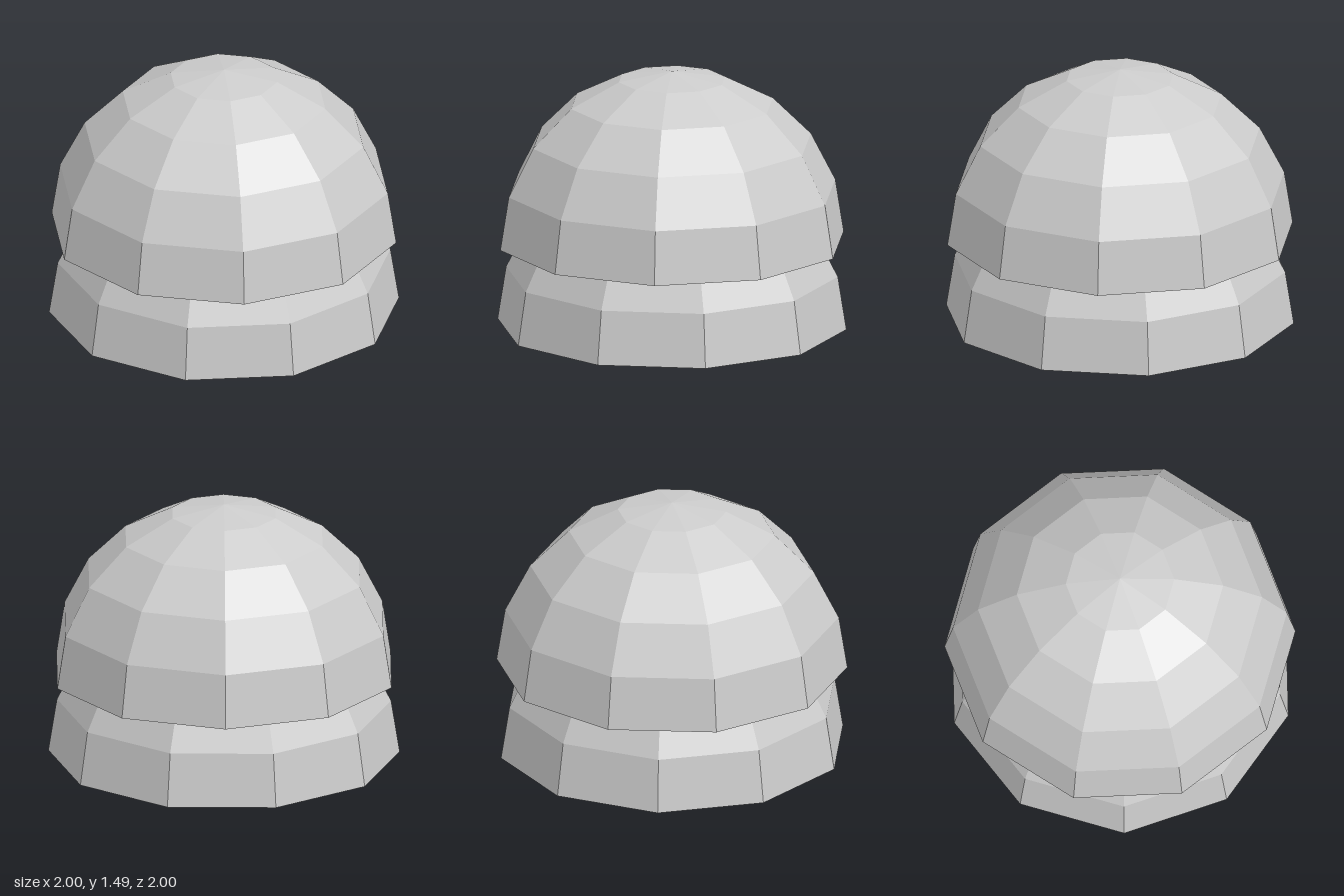
import * as THREE from 'three';

const SIDES = 10;
const RINGS = 5;
const HOLLOW = 0.3; // height of the hollow under each dome

// Faceted half-sphere of radius 1 with a smooth, shallow hollow underneath
function makeDome(name, y, turn) {
  const dome = new THREE.Group();
  dome.name = name;
  dome.position.y = y;
  dome.rotation.y = THREE.MathUtils.degToRad(turn);

  const shell = new THREE.Mesh(
    new THREE.SphereGeometry(1, SIDES, RINGS, 0, Math.PI * 2, 0, Math.PI / 2),
    new THREE.MeshStandardMaterial({ color: 0xcccccc, flatShading: true }),
  );
  shell.name = 'shell';

  // Bowl-shaped underside, from its middle out to the rim
  const profile = [];
  for (let i = 0; i <= RINGS; i++) {
    const r = i / RINGS;
    profile.push(new THREE.Vector2(r, HOLLOW * (1 - r * r)));
  }
  const underside = new THREE.Mesh(
    new THREE.LatheGeometry(profile, SIDES, Math.PI / 2),
    new THREE.MeshStandardMaterial({ color: 0xcccccc }),
  );
  underside.name = 'underside';

  dome.add(shell, underside);
  return dome;
}

export function createModel() {
  const model = new THREE.Group();
  model.name = 'stackedDomes';
  // The lower dome is turned about half a facet against the upper one
  model.add(makeDome('lowerDome', 0, -19.3), makeDome('upperDome', 0.49, 0));
  return model;
}
